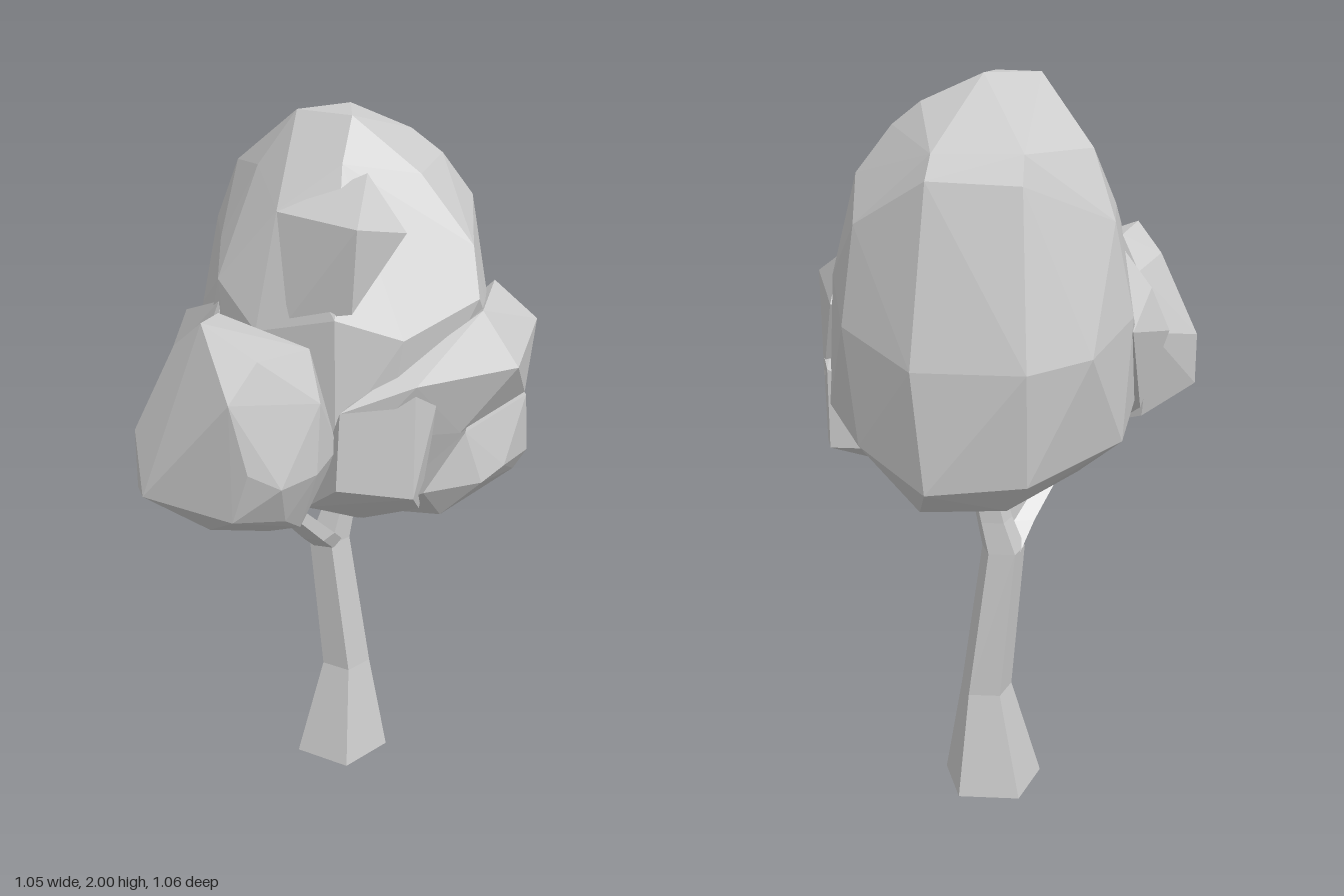
import * as THREE from 'three';
import { ConvexGeometry } from 'three/addons/geometries/ConvexGeometry.js';

const material = new THREE.MeshStandardMaterial({ color: 0xcccccc, flatShading: true });

// Faceted leaf mass wrapped around a few corner points
function foliage(name, points) {
  const mesh = new THREE.Mesh(new ConvexGeometry(points.map(p => new THREE.Vector3(...p))), material);
  mesh.name = name;
  return mesh;
}

// Tapered limb lofted through horizontal rings: [x, y, z, radius]
function limb(name, rings, sides, turn) {
  const pos = [], index = [];
  for (const [x, y, z, r] of rings) {
    for (let i = 0; i < sides; i++) {
      const a = turn + (i / sides) * Math.PI * 2;
      pos.push(x + Math.sin(a) * r, y, z + Math.cos(a) * r);
    }
  }
  for (let k = 0; k < rings.length - 1; k++) {
    for (let i = 0; i < sides; i++) {
      const a = k * sides + i, b = k * sides + (i + 1) % sides;
      index.push(a, b, b + sides, a, b + sides, a + sides);
    }
  }
  // End caps
  const top = (rings.length - 1) * sides;
  for (let i = 1; i < sides - 1; i++) {
    index.push(0, i + 1, i, top, top + i, top + i + 1);
  }
  const geo = new THREE.BufferGeometry();
  geo.setAttribute('position', new THREE.Float32BufferAttribute(pos, 3));
  geo.setIndex(index);
  geo.computeVertexNormals();
  const mesh = new THREE.Mesh(geo, material);
  mesh.name = name;
  return mesh;
}

export function createModel() {
  const tree = new THREE.Group();
  tree.name = 'tree';

  // Flared trunk and its forking side branch
  tree.add(limb('trunk', [
    [0.02, 0, -0.115, 0.146], [0.035, 0.3, -0.125, 0.075],
    [-0.015, 0.73, -0.13, 0.062], [0.01, 0.82, -0.135, 0.052], [0.05, 1.0, -0.145, 0.045],
  ], 5, 0.05));
  tree.add(limb('branch', [
    [-0.022, 0.72, -0.115, 0.05], [-0.055, 0.79, -0.03, 0.05],
    [-0.15, 0.94, 0.1, 0.04], [-0.21, 1.08, 0.2, 0.032],
  ], 5, 0.3));

  // Large egg-shaped crown
  tree.add(foliage('mainCrown', [
    // dome
    [-0.1, 2, 0], [0.03, 2, 0.09], [0.04, 2, -0.08], [0.2, 1.93, -0.1],
    [0, 1.9, 0.17], [0.28, 1.87, -0.08], [-0.2, 1.86, -0.02], [0.2, 1.86, 0.11],
    // upper back corners
    [0.12, 1.83, -0.42], [-0.1, 1.83, -0.41], [-0.25, 1.83, -0.22], [0.13, 1.77, -0.45], [-0.1, 1.76, -0.44],
    // upper sides
    [-0.16, 1.79, 0.17], [0.37, 1.75, -0.12], [0.33, 1.69, 0.16],
    [0.33, 1.65, -0.34], [-0.3, 1.67, -0.03], [-0.31, 1.66, -0.28], [-0.31, 1.6, 0.1],
    // waist
    [0.34, 1.57, 0.22], [0.14, 1.5, 0.32], [-0.03, 1.56, 0.33], [-0.22, 1.5, 0.22], [0.42, 1.5, -0.2],
    [0.36, 1.4, -0.37], [0.41, 1.4, 0.08], [-0.36, 1.42, -0.26], [0.16, 1.33, -0.53], [-0.12, 1.33, -0.53],
    [-0.27, 1.35, -0.43], [-0.03, 1.25, 0.34],
    // lower sides
    [-0.38, 1.2, 0], [0.44, 1.15, -0.2], [0.32, 1.1, -0.4], [-0.34, 1.1, -0.28], [-0.27, 1.08, 0.15],
    [0.13, 1.02, -0.53], [-0.12, 1.04, -0.5], [0.08, 1.05, 0.3],
    // underside
    [0.34, 0.96, -0.1], [-0.22, 0.97, -0.15], [0.16, 0.94, -0.43], [-0.06, 0.95, -0.42],
    [-0.15, 0.95, 0.08], [0.05, 0.92, 0.13], [0.02, 0.89, -0.06], [0.1, 0.89, -0.17], [-0.08, 0.9, -0.17],
  ]));

  // Overhanging ridge round the left front
  tree.add(foliage('leftRidge', [
    [0.525, 1.46, 0.06], [0.44, 1.4, 0.26], [0.17, 1.39, 0.35], [-0.02, 1.33, 0.36],
    [0.43, 1.53, -0.06], [0.35, 1.54, 0.22], [0.43, 1.42, -0.2],
    [0.5, 1.26, 0.08], [0.48, 1.2, -0.1], [0.3, 1.22, 0.25], [0.05, 1.25, 0.34], [0.2, 1.3, 0],
  ]));

  // Lower bulge at the front centre
  tree.add(foliage('frontBulge', [
    [0.17, 1.39, 0.34], [-0.02, 1.33, 0.36], [0.24, 1.38, 0.3], [0.17, 1.08, 0.345],
    [-0.03, 1.12, 0.365], [-0.1, 1.02, 0.25], [0.06, 0.93, 0.15], [0.2, 1.0, 0.24], [0.05, 1.2, 0],
  ]));

  // Lower bulge on the left flank
  tree.add(foliage('leftBulge', [
    [0.5, 1.26, 0.1], [0.49, 1.25, -0.06], [0.31, 1.23, 0.27], [0.43, 1.1, 0.2], [0.52, 1.08, 0.06],
    [0.5, 0.99, -0.01], [0.2, 1.08, 0.31], [0.36, 1.08, 0.26], [0.35, 0.93, 0],
    [0.26, 0.97, 0.22], [0.45, 1.02, -0.18], [0.44, 1.25, -0.22], [0.1, 0.93, 0.1],
  ]));

  // Bulge on the right flank
  tree.add(foliage('rightBulge', [
    [-0.45, 1.34, -0.05], [-0.4, 1.46, -0.08], [-0.31, 1.54, 0.1], [-0.36, 1.38, -0.26],
    [-0.39, 1.32, 0.09], [-0.3, 1.2, 0.16], [-0.38, 1.14, -0.1], [-0.25, 1.02, 0.02],
    [-0.2, 1.35, 0],
  ]));

  // Pointed tuft high on the front
  tree.add(foliage('frontTuft', [
    [0.06, 1.88, 0.18], [-0.16, 1.79, 0.18], [0.02, 1.79, 0.36], [0.15, 1.75, 0.25],
    [0.01, 1.58, 0.345], [-0.14, 1.54, 0.26], [0, 1.6, 0.1],
  ]));

  // Small crown carried by the branch
  tree.add(foliage('smallCrown', [
    [-0.35, 1.57, 0.35], [-0.31, 1.55, 0.22], [-0.42, 1.49, 0.28], [-0.22, 1.51, 0.46],
    [-0.09, 1.48, 0.3], [-0.36, 1.46, 0.14], [-0.53, 1.26, 0.26],
    [-0.29, 1.43, 0.53], [-0.07, 1.38, 0.41], [-0.02, 1.22, 0.32], [-0.4, 1.3, 0.09],
    [-0.25, 1.25, 0.53], [-0.17, 1.2, 0.51], [-0.08, 1.2, 0.43], [-0.53, 1.11, 0.28],
    [-0.51, 1.14, 0.4], [-0.29, 1.11, 0.5], [-0.05, 1.12, 0.25], [-0.38, 1.04, 0.16],
    [-0.16, 1.08, 0.44], [-0.35, 1.01, 0.34], [-0.2, 0.99, 0.32], [-0.12, 1.02, 0.36],
    [-0.22, 1.0, 0.18], [-0.11, 1.05, 0.2],
  ]));

  return tree;
}
